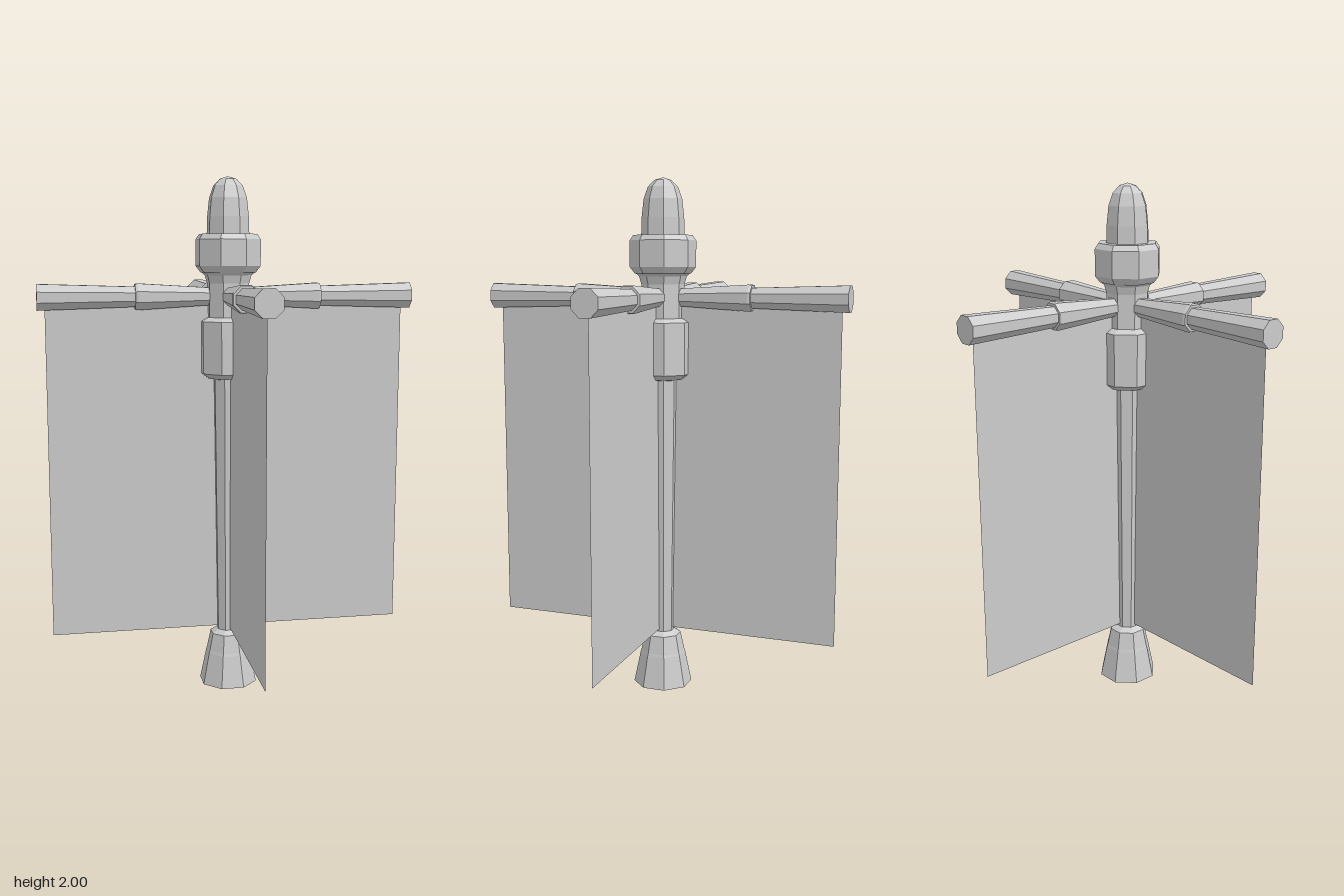
import * as THREE from 'three';

const material = new THREE.MeshStandardMaterial({ color: 0xcccccc, flatShading: true });
const clothMaterial = new THREE.MeshStandardMaterial({ color: 0xcccccc, side: THREE.DoubleSide });
const SIDES = 8;

// Octagonal turned part; profile is [half width across flats, height], with flats facing the axes
function turned(name, profile) {
  const k = 1 / Math.cos(Math.PI / SIDES);
  const points = profile.map(([w, y]) => new THREE.Vector2(w * k, y));
  const geometry = new THREE.LatheGeometry(points, SIDES, Math.PI / SIDES);
  const mesh = new THREE.Mesh(geometry, material);
  mesh.name = name;
  return mesh;
}

export function createModel() {
  const group = new THREE.Group();
  group.name = 'bannerPost';

  // Central post, from the ground up
  group.add(
    turned('base', [[0, 0], [0.107, 0], [0.083, 0.125], [0.08, 0.135], [0.066, 0.205], [0.045, 0.22], [0, 0.22]]),
    turned('pole', [[0.042, 0.21], [0.055, 1.24]]),
    turned('lowerCollar', [[0.05, 1.23], [0.078, 1.235], [0.104, 1.255], [0.104, 1.455], [0.078, 1.47], [0, 1.47]]),
    turned('neck', [[0.077, 1.46], [0.077, 1.6], [0.085, 1.63], [0.102, 1.645]]),
    turned('upperCollar', [[0.07, 1.635], [0.1, 1.64], [0.118, 1.665], [0.118, 1.765], [0.105, 1.785], [0.07, 1.785]]),
    turned('finial', [[0.077, 1.775], [0.075, 1.85], [0.068, 1.92], [0.053, 1.965], [0.03, 1.99], [0, 2]])
  );

  // Four arms, each a stepped rod with a hanging cloth
  for (let i = 0; i < 4; i++) {
    const arm = new THREE.Group();
    arm.name = 'arm' + (i + 1);

    const rod = turned('rod', [
      [0.032, 0.05], [0.05, 0.35], [0.047, 0.36], [0.038, 0.36], [0.049, 0.727], [0, 0.727]
    ]);
    rod.rotation.z = -Math.PI / 2;
    rod.position.y = 1.55;

    const cloth = new THREE.Mesh(new THREE.PlaneGeometry(0.698, 1.31), clothMaterial);
    cloth.name = 'cloth';
    cloth.position.set(0.349, 0.885, 0);

    arm.add(rod, cloth);
    arm.rotation.y = (i * Math.PI) / 2;
    group.add(arm);
  }

  return group;
}
